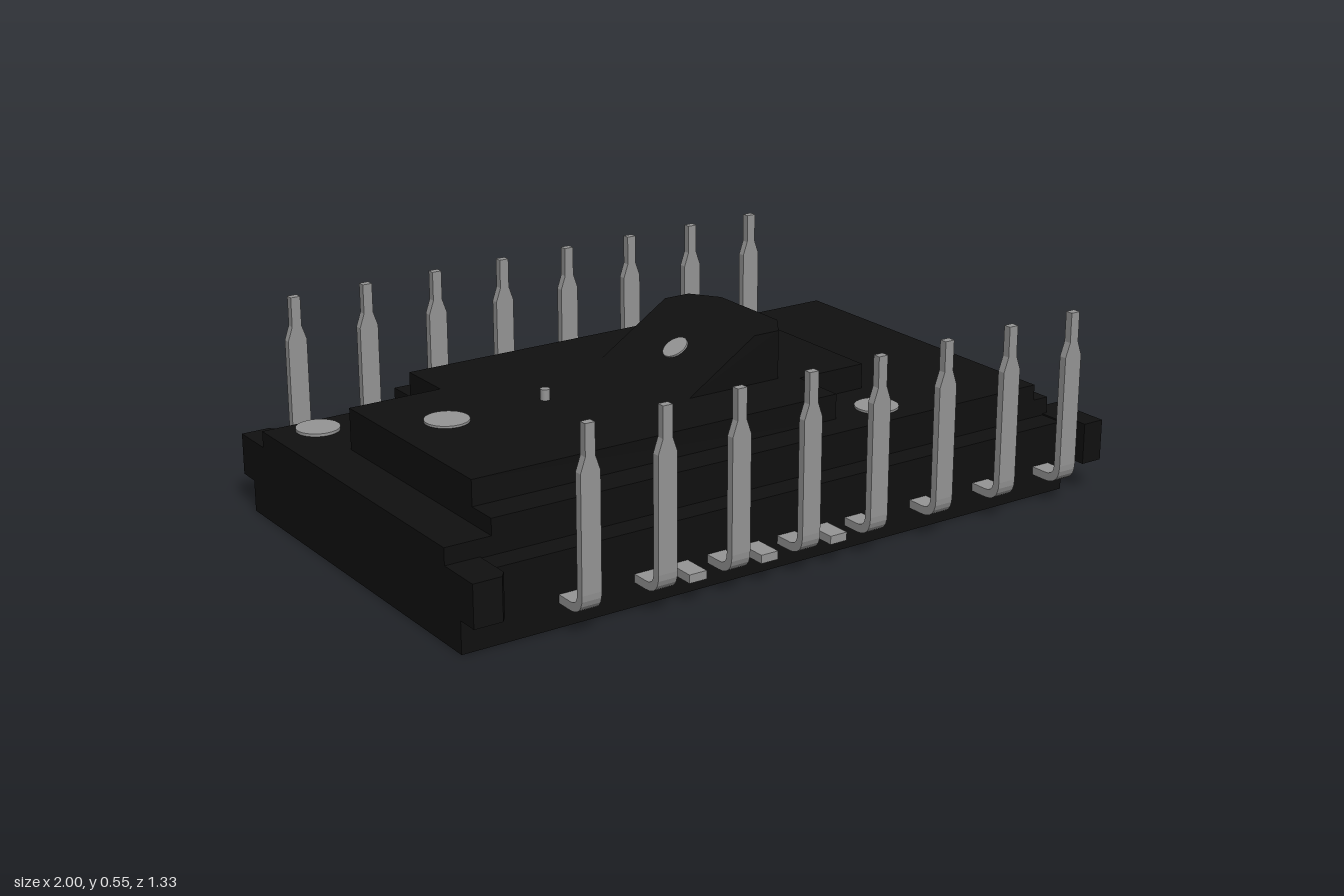
import * as THREE from 'three';
import { ConvexGeometry } from 'three/addons/geometries/ConvexGeometry.js';

export function createModel() {
  const model = new THREE.Group();
  model.name = 'powerModule';
  const plastic = new THREE.MeshStandardMaterial({ color: 0x101010 });
  plastic.name = 'blackPlastic';
  const metal = new THREE.MeshStandardMaterial({ color: 0x959595 });
  metal.name = 'greyMetal';

  const add = (name, geometry, material, parent = model) => {
    const mesh = new THREE.Mesh(geometry, material);
    mesh.name = name;
    parent.add(mesh);
    return mesh;
  };

  // Horizontal slab from a plan outline of [x, z] points
  const slab = (name, plan, y0, y1) => {
    const shape = new THREE.Shape(plan.map(([x, z]) => new THREE.Vector2(x, -z)));
    const g = new THREE.ExtrudeGeometry(shape, { depth: y1 - y0, bevelEnabled: false });
    g.rotateX(-Math.PI / 2).translate(0, y0, 0);
    return add(name, g, plastic);
  };
  const rect = (x0, x1, z0, z1) => [[x0, z0], [x0, z1], [x1, z1], [x1, z0]];

  // Stepped housing, with corner pockets in the upper steps
  slab('base', rect(-1, 0.915, -0.56, 0.56), 0, 0.2);
  slab('lowerStep', rect(-1, 0.915, -0.49, 0.49), 0.2, 0.25);
  slab('middleStep', [
    [-0.87, -0.23], [-0.87, 0.49], [0.865, 0.49], [0.865, -0.49], [-0.6, -0.49], [-0.6, -0.23],
  ], 0.25, 0.295);
  slab('upperStep', [
    [-0.87, -0.23], [-0.87, 0.4], [0.24, 0.4], [0.24, 0.24], [0.455, 0.24],
    [0.455, -0.4], [-0.6, -0.4], [-0.6, -0.23],
  ], 0.295, 0.365);

  // Corner lugs
  for (const s of [-1, 1]) {
    slab('rightLug', [
      [-1, s * 0.44], [-1, s * 0.622], [-0.92, s * 0.622], [-0.903, s * 0.6], [-0.903, s * 0.44],
    ], 0.088, 0.204);
    slab('leftLug', [
      [0.9, s * 0.44], [1, s * 0.44], [1, s * 0.622], [0.935, s * 0.622], [0.935, s * 0.55], [0.9, s * 0.55],
    ], 0.088, 0.204);
  }

  // Raised wedge with a ramp and two clipped corners
  const wedge = [];
  for (const s of [-1, 1]) {
    wedge.push(new THREE.Vector3(-0.1, 0.365, s * 0.21), new THREE.Vector3(0.11, 0.5, s * 0.21));
    for (const y of [0.365, 0.5]) {
      wedge.push(new THREE.Vector3(0.19, y, s * 0.21), new THREE.Vector3(0.245, y, s * 0.13));
    }
  }
  add('wedge', new ConvexGeometry(wedge), plastic);

  // Metal discs and the small post
  const disc = (name, x, y, z, r, h = 0.008) => {
    const mesh = add(name, new THREE.CylinderGeometry(r, r, h, 32), metal);
    mesh.position.set(x, y, z);
    return mesh;
  };
  disc('cornerDisc', -0.87, 0.254, -0.42, 0.06);
  disc('sideDisc', -0.71, 0.367, 0, 0.06);
  disc('frontDisc', 0.39, 0.297, 0.385, 0.06);
  disc('post', -0.415, 0.38, 0, 0.013, 0.03);
  disc('rampDisc', 0, 0.431, 0, 0.037).rotation.z = Math.atan2(0.135, 0.21);

  // Bent foot and lower blade of a pin, facing +z
  const width = 0.056;
  const bend = new THREE.Shape();
  bend.moveTo(0.54, 0.065);
  bend.lineTo(0.61, 0.065);
  bend.quadraticCurveTo(0.665, 0.065, 0.665, 0.12);
  bend.lineTo(0.665, 0.43);
  bend.lineTo(0.643, 0.43);
  bend.lineTo(0.643, 0.12);
  bend.quadraticCurveTo(0.643, 0.088, 0.61, 0.088);
  bend.lineTo(0.54, 0.088);
  const footGeo = new THREE.ExtrudeGeometry(bend, { depth: width, bevelEnabled: false, curveSegments: 6 });
  footGeo.translate(0, 0, -width / 2).rotateY(-Math.PI / 2);

  // Tapered shoulder and narrow tip
  const tip = new THREE.Shape([
    [-0.028, 0.43], [0.028, 0.43], [0.014, 0.47], [0.014, 0.553], [-0.014, 0.553], [-0.014, 0.47],
  ].map(([x, y]) => new THREE.Vector2(x, y)));
  const tipGeo = new THREE.ExtrudeGeometry(tip, { depth: 0.022, bevelEnabled: false });
  tipGeo.translate(0, 0, 0.643);

  const stubGeo = new THREE.BoxGeometry(0.052, 0.023, 0.1).translate(0, 0.0765, 0.592);

  // Pin rows and the cut-off stubs between them
  const rows = [
    { name: 'front', start: -0.7, turn: 0, stubs: [-0.375, -0.155, 0.065] },
    { name: 'back', start: -0.81, turn: Math.PI, stubs: [0.39, 0.61] },
  ];
  for (const row of rows) {
    for (let i = 0; i < 8; i++) {
      const pin = new THREE.Group();
      pin.name = row.name + 'Pin';
      pin.position.x = row.start + i * 0.2193;
      pin.rotation.y = row.turn;
      add('pinFoot', footGeo, metal, pin);
      add('pinTip', tipGeo, metal, pin);
      model.add(pin);
    }
    for (const x of row.stubs) {
      const stub = add(row.name + 'Stub', stubGeo, metal);
      stub.position.x = x;
      stub.rotation.y = row.turn;
    }
  }
  return model;
}
